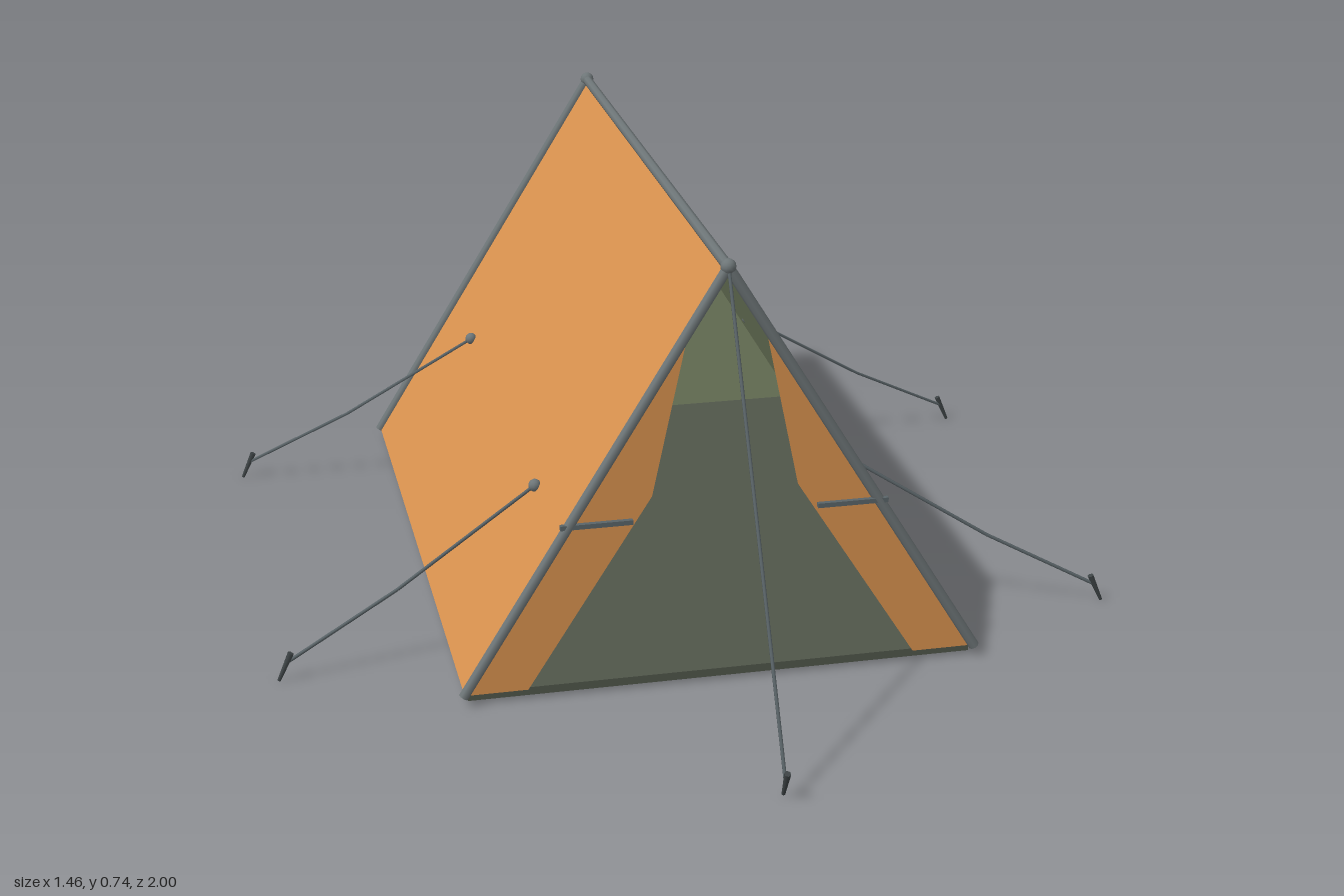
import * as THREE from 'three';

const mat = (name, color) => {
  const m = new THREE.MeshStandardMaterial({ color });
  m.name = name;
  return m;
};

export function createModel() {
  const canvas = mat('orange canvas', 0xd9924f);
  const lining = mat('olive lining', 0x7f8b6a);
  const groundsheet = mat('dark groundsheet', 0x50564a);
  const metal = mat('grey pole', 0x6e7678);
  const cord = mat('guy cord', 0x5a6468);
  const stakeMetal = mat('dark stake', 0x3e4446);

  const tent = new THREE.Group();
  tent.name = 'tent';
  const V = (x, y, z) => new THREE.Vector3(x, y, z);
  const HALF = 0.436, BASE = 0.022, RIDGE = 0.73, END = 0.585;

  const add = (name, geo, material, parent = tent) => {
    const m = new THREE.Mesh(geo, material);
    m.name = name;
    parent.add(m);
    return m;
  };

  // Straight bar between two points
  const bar = (name, a, b, r, material, r2 = r, sides = 8) => {
    const d = b.clone().sub(a);
    const m = add(name, new THREE.CylinderGeometry(r2, r, d.length(), sides), material);
    m.position.copy(a).add(b).multiplyScalar(0.5);
    m.quaternion.setFromUnitVectors(V(0, 1, 0), d.normalize());
    return m;
  };

  // Single-sided flat face, fanned from its first corner
  const face = (pts) => {
    const tris = [];
    for (let i = 1; i < pts.length - 1; i++) tris.push(pts[0], pts[i], pts[i + 1]);
    const g = new THREE.BufferGeometry().setFromPoints(tris);
    g.computeVertexNormals();
    return g;
  };

  // Cloth panel: canvas outside, lining just behind it
  const panel = (name, pts) => {
    const n = pts[1].clone().sub(pts[0]).cross(pts[2].clone().sub(pts[0])).normalize();
    const inner = pts.map((p) => p.clone().addScaledVector(n, -0.004)).reverse();
    // keep the same fan corner so concave panels stay correct
    inner.unshift(inner.pop());
    const g = new THREE.Group();
    g.name = name;
    add(name + 'Outside', face(pts), canvas, g);
    add(name + 'Lining', face(inner), lining, g);
    tent.add(g);
  };

  // Groundsheet
  const floor = add('groundsheet', new THREE.BoxGeometry(0.86, 0.014, 1.165), groundsheet);
  floor.position.y = 0.018;

  // Roof slopes and open door flaps
  for (const s of [1, -1]) {
    const side = s > 0 ? 'left' : 'right';
    const wind = (pts) => (s > 0 ? pts : [pts[0], ...pts.slice(1).reverse()]);
    panel(side + 'Slope', wind([
      V(s * HALF, BASE, END), V(s * HALF, BASE, -END), V(0, RIDGE, -END), V(0, RIDGE, END),
    ]));
    panel(side + 'DoorFlap', wind([
      V(s * 0.43, BASE, END), V(s * 0.066, 0.615, END), V(s * 0.122, 0.35, END), V(s * 0.33, BASE, END),
    ]));
    const tie = add(side + 'FlapTie', new THREE.BoxGeometry(0.12, 0.008, 0.008), cord);
    tie.position.set(s * 0.215, 0.311, END + 0.006);
  }

  // Closed back wall
  panel('backWall', [V(HALF, BASE, -END), V(-HALF, BASE, -END), V(0, RIDGE, -END)]);

  // Frame: ridge pole and an A of poles at each end
  bar('ridgePole', V(0, 0.734, -0.588), V(0, 0.734, 0.588), 0.009, metal);
  for (const e of [1, -1]) {
    for (const s of [1, -1]) {
      bar('endPole', V(s * 0.438, 0.022, e * 0.588), V(0, 0.734, e * 0.588), 0.009, metal);
    }
    add('ridgeJoint', new THREE.SphereGeometry(0.013, 12, 8), metal).position.set(0, 0.735, e * 0.588);
  }

  // Slightly sagging guy line in two straight lengths
  const guy = (a, b, c) => {
    bar('guyLine', a, b, 0.003, cord, 0.003, 6);
    bar('guyLine', b, c, 0.003, cord, 0.003, 6);
  };
  // Pointed ground stake
  const stake = (bottom, top) => bar('stake', bottom, top, 0.003, stakeMetal, 0.0055, 6);

  // Guys at the ridge ends
  for (const e of [1, -1]) {
    guy(V(0, 0.735, e * 0.59), V(0, 0.365, e * 0.8), V(0, 0.036, e * 0.985));
  }
  stake(V(0, 0.008, 0.974), V(0, 0.056, 0.997));
  stake(V(0, 0.008, -0.997), V(0, 0.056, -0.974));

  // Guys at the sides, with grommets on the slopes
  for (const s of [1, -1]) {
    for (const e of [1, -1]) {
      guy(V(s * 0.278, 0.288, e * 0.363), V(s * 0.52, 0.137, e * 0.402), V(s * 0.716, 0.036, e * 0.436));
      stake(V(s * 0.727, 0.006, e * 0.436), V(s * 0.705, 0.055, e * 0.436));
      add('grommet', new THREE.SphereGeometry(0.011, 10, 8), metal)
        .position.set(s * 0.277, 0.289, e * 0.363);
    }
  }

  return tent;
}
